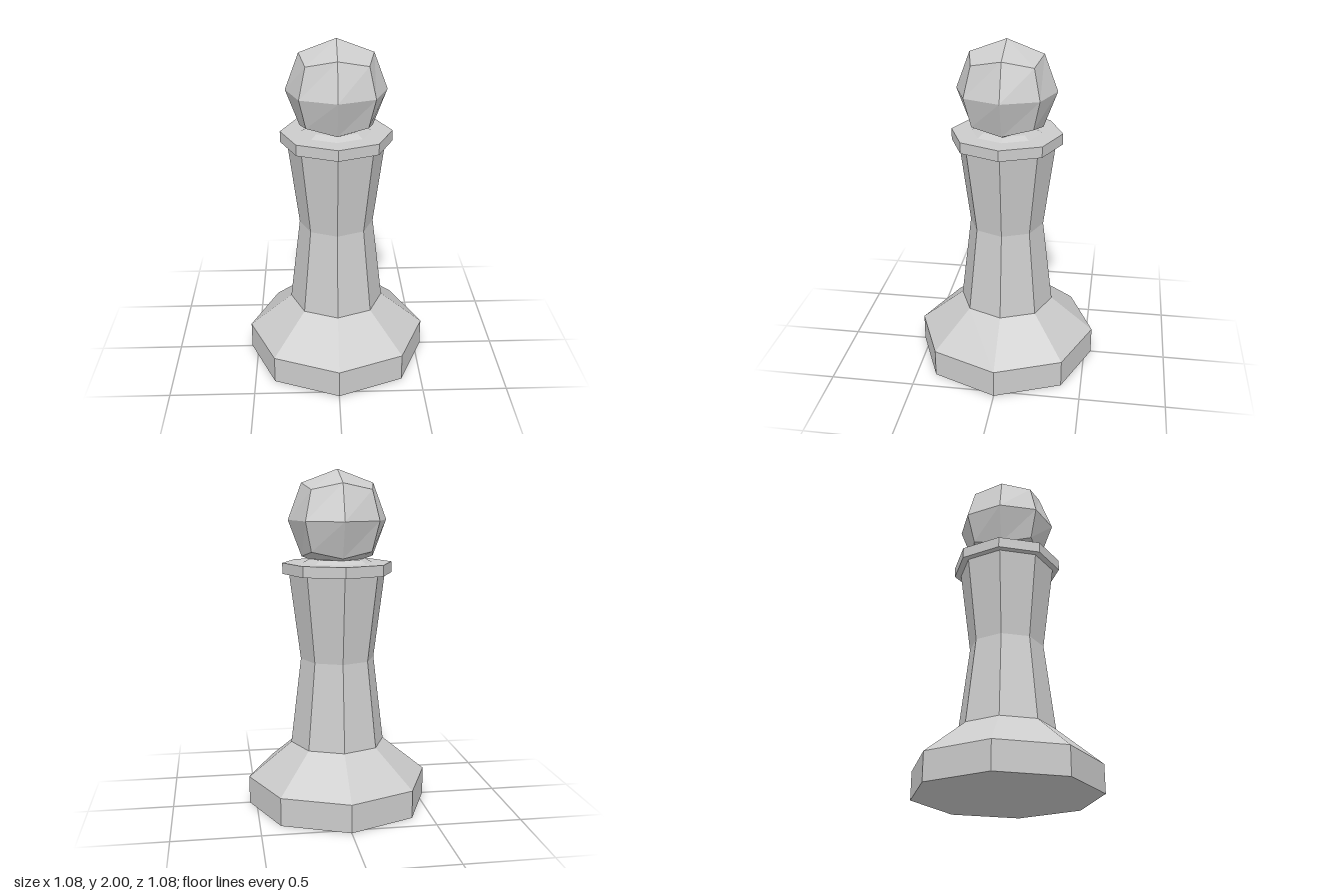
import * as THREE from 'three';

const SIDES = 8;
const material = new THREE.MeshStandardMaterial({ color: 0xcccccc, flatShading: true });

// Eight-sided turned part from [radius, height] pairs, bottom to top
function turned(name, profile) {
  const points = profile.map(([r, y]) => new THREE.Vector2(r, y));
  const mesh = new THREE.Mesh(new THREE.LatheGeometry(points, SIDES), material);
  mesh.name = name;
  return mesh;
}

// Cube split 2 x 2 per face and rounded into a faceted ball
function facetedBall() {
  const geometry = new THREE.BoxGeometry(2, 2, 2, 2, 2, 2);
  const reach = [0, 0.29, 0.211, 0.174]; // face centre, edge middle, corner
  const position = geometry.attributes.position;
  const v = new THREE.Vector3();
  for (let i = 0; i < position.count; i++) {
    v.fromBufferAttribute(position, i).round();
    v.multiplyScalar(reach[Math.abs(v.x) + Math.abs(v.y) + Math.abs(v.z)]);
    position.setXYZ(i, v.x, v.y, v.z);
  }
  geometry.computeVertexNormals();
  return geometry;
}

export function createModel() {
  const model = new THREE.Group();
  model.name = 'chessPawn';

  // Foot with sloped shoulder, flowing into the waisted stem
  model.add(turned('baseAndStem', [
    [0, 0], [0.541, 0], [0.541, 0.165], [0.282, 0.376], [0.22, 0.89], [0.286, 1.4],
  ]));

  // Flat collar and the short neck under the head
  model.add(turned('collar', [
    [0.28, 1.398], [0.325, 1.398], [0.325, 1.462], [0, 1.462],
  ]));
  model.add(turned('neck', [[0.205, 1.462], [0.165, 1.484], [0, 1.484]]));

  const head = new THREE.Mesh(facetedBall(), material);
  head.name = 'head';
  head.position.y = 1.71;
  model.add(head);

  return model;
}
